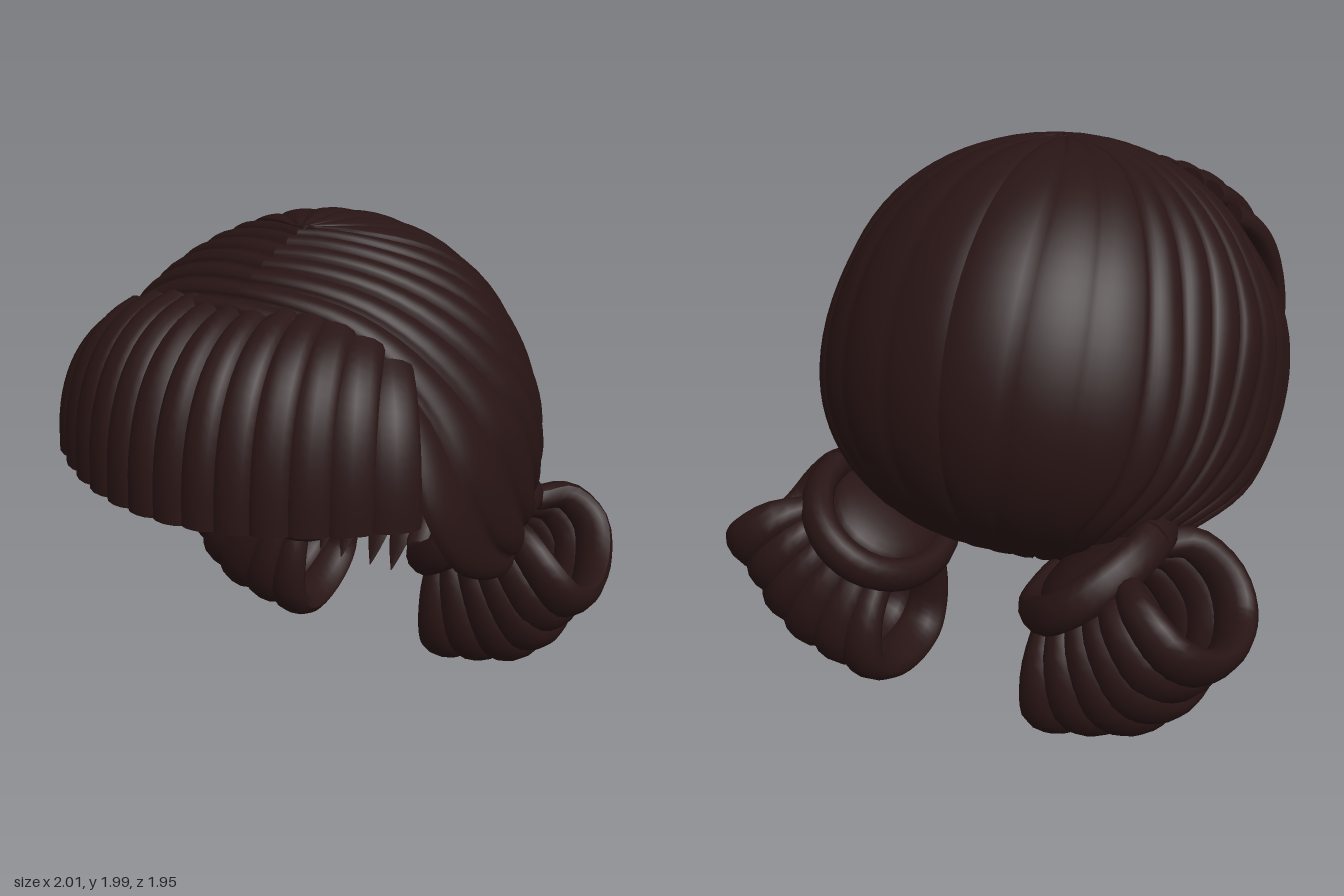
import * as THREE from 'three';

const V = (x, y, z) => new THREE.Vector3(x, y, z);
const { smoothstep, clamp } = THREE.MathUtils;
const material = new THREE.MeshStandardMaterial({ color: 0x281414, side: THREE.DoubleSide });

// Smooth sheet of rows x cols points given by a rule
function sheet(rows, cols, pointAt) {
  const pos = [], index = [];
  for (let j = 0; j <= rows; j++) {
    for (let k = 0; k <= cols; k++) {
      pos.push(...pointAt(j, k).toArray());
      if (j < rows && k < cols) {
        const a = j * (cols + 1) + k, b = a + cols + 1;
        index.push(a, a + 1, b, a + 1, b + 1, b);
      }
    }
  }
  const g = new THREE.BufferGeometry();
  g.setAttribute('position', new THREE.Float32BufferAttribute(pos, 3));
  g.setIndex(index);
  g.computeVertexNormals();
  return g;
}

// Flattened lock of hair along a path, capped at both ends
function lock(points, side, width, thick, steps = 16, sides = 12) {
  const curve = new THREE.CatmullRomCurve3(points);
  return sheet(steps + 4, sides, (j, k) => {
    const t = clamp((j - 2) / steps, 0, 1);
    const scale = j === 0 || j === steps + 4 ? 0 : 1;
    const T = curve.getTangent(t);
    const S = side.clone().addScaledVector(T, -side.dot(T)).normalize();
    const N = T.clone().cross(S);
    const a = (k % sides) / sides * Math.PI * 2;
    return curve.getPoint(t)
      .addScaledVector(S, Math.cos(a) * width(t) * scale)
      .addScaledVector(N, Math.sin(a) * thick(t) * scale);
  });
}

// Push a point out to the head form: round on top, fuller at the lower sides, narrower behind
function onHead(p, inset) {
  const c = V(0, 1.2, -0.1);
  const d = p.clone().sub(c);
  const y = d.y / (d.y > 0 ? 0.79 : 0.75), z = d.z / (d.z > 0 ? 1.05 : 0.8);
  const low = smoothstep(-p.y, -1.6, -0.85);
  const front = smoothstep(p.z, -0.8, 0.1);
  const e = 2 + low * (0.2 + 0.8 * front);
  const half = 0.84 + 0.03 * low - 0.05 * smoothstep(-p.z, 0, 0.4);
  const n = (y * y + z * z) ** (e / 2) + Math.abs(d.x / half) ** e;
  return c.addScaledVector(d, inset / n ** (1 / e));
}

// Guide paths from the parting to the nape: hairline, side, crown, back middle
const guides = [
  [[0, 1.84, .62], [.4, 1.75, .59], [.62, 1.5, .55], [.75, 1.2, .56], [.78, .97, .41], [.77, .82, .14], [.68, .75, -.22], [.45, .63, -.44]],
  [[0, 1.92, .35], [.4, 1.85, .23], [.68, 1.6, .06], [.82, 1.35, -.1], [.82, 1.1, -.25], [.75, .92, -.4], [.62, .78, -.5], [.4, .62, -.5]],
  [[0, 1.98, .1], [.28, 1.95, -.03], [.5, 1.82, -.25], [.63, 1.6, -.45], [.65, 1.3, -.58], [.6, 1.05, -.65], [.45, .85, -.65], [.25, .6, -.5]],
  [[0, 1.98, .1], [0, 1.97, -.15], [0, 1.88, -.4], [0, 1.65, -.7], [0, 1.35, -.88], [0, 1.1, -.88], [0, .85, -.8], [0, .6, -.5]],
].map(g => new THREE.CatmullRomCurve3(g.map(p => V(...p))));

// One half of the combed cap, ridged along its strands, calmer at the back
function capHalf(m) {
  const strands = 10, per = 10, rows = strands * per, cols = 36;
  const across = Array.from({ length: cols + 1 }, (_, k) =>
    new THREE.CatmullRomCurve3(guides.map(g => g.getPoint(k / cols))));
  return sheet(rows, cols, (j, k) => {
    const s = (m > 0 ? j : rows - j) / rows;
    const ridge = Math.abs(Math.sin(Math.PI * strands * s)) ** 0.6;
    const depth = s > 0.7 ? 0.012 : 0.032;
    const p = onHead(across[k].getPoint(s), 1.005 - depth * (1 - ridge));
    p.x *= m;
    return p;
  });
}

export function createModel() {
  const model = new THREE.Group();
  const add = (geometry, name, parent = model) => {
    const mesh = new THREE.Mesh(geometry, material);
    mesh.name = name;
    parent.add(mesh);
    return mesh;
  };

  // Blunt fringe, its outer locks tucked back under the cap
  const fringe = new THREE.Group();
  fringe.name = 'fringe';
  model.add(fringe);
  for (let i = -6; i <= 6; i++) {
    const u = i / 6.5, x = 0.71 * u, z = 0.93 - 0.35 * u * u;
    const top = V(0.57 * u, 1.775 - 0.17 * u ** 4, 0.5 - 0.08 * u * u);
    const end = V(x, 1.19, z), bend = V(x, top.y - 0.03 - 0.08 * u * u, z);
    const path = new THREE.QuadraticBezierCurve3(top, bend, end).getPoints(6);
    const w = 0.072 * Math.hypot(1, u);
    add(lock(path, V(0.73, 0, -0.7 * u), t => w * (0.85 + 0.15 * t), () => 0.05), 'fringeLock', fringe);
  }

  for (const m of [1, -1]) {
    const label = m > 0 ? 'left' : 'right';
    add(capHalf(m), label + 'Cap');

    // Looped pigtail: strands leave the tie, fold round and return
    const tail = new THREE.Group();
    tail.name = label + 'Pigtail';
    model.add(tail);
    const ends = new THREE.CatmullRomCurve3(
      [V(.925, .43, 0), V(.81, .3, 0), V(.74, .17, 0), V(.57, .1, 0), V(.38, .06, 0)]);
    const loops = 6;
    for (let i = 0; i < loops; i++) {
      const f = i / (loops - 1);
      const root = V(.63 - .29 * f, .72 - .22 * f, 0), end = ends.getPoint(f);
      const d = end.clone().sub(root);
      const path = [[0, -.46], [.3, -.4], [.7, -.375], [.92, -.43], [1, -.56], [.92, -.77], [.68, -.91], [.3, -.89], [0, -.78]]
        .map(([a, z]) => {
          const p = root.clone().addScaledVector(d, a);
          return V(p.x * m, p.y + 0.09 * Math.sin(Math.PI * a) * (1 - f), -.63 + (z + .63) * (1 - .15 * f * f * a));
        });
      add(lock(path, V(-d.y, d.x * m, 0),
        t => 0.05 + 0.05 * Math.sin(Math.PI * t), () => 0.055, 28), 'loopStrand', tail);
    }

    // Gathered hair inside the tie
    const root = add(new THREE.SphereGeometry(1, 20, 14), 'pigtailRoot', tail);
    root.scale.set(0.22, 0.08, 0.24);
    root.position.set(0.43 * m, 0.64, -0.58);
    root.rotation.z = 0.62 * m;

    // Band of hair wrapped round the root
    const wrap = [];
    for (let i = 0; i <= 20; i++) {
      const a = i / 20 * Math.PI * 2, c = 0.25 * Math.cos(a);
      wrap.push(V((0.44 + 0.8 * c) * m, 0.64 + 0.62 * c, -0.58 + 0.3 * Math.sin(a)));
    }
    add(lock(wrap, V(0.6 * m, -0.8, 0), () => 0.075, () => 0.055, 36), 'pigtailTie', tail);

    // Loose tips at the nape
    for (const [x, y] of [[.07, .45], [.17, .45], [.25, .5]]) {
      add(lock([V(x * m, .68, -.54), V(x * m, .6, -.44), V(x * m, y, -.35)], V(1, 0, 0),
        t => 0.05 * Math.sin(Math.PI * (0.15 + 0.84 * t)), t => 0.03 * (1 - t) + 0.002, 10, 8), 'napeTip');
    }

    // Stray tips inside the sides
    for (const [x, y] of [[.23, 1.0], [.3, .84]]) {
      add(lock([V(.72 * m, .9, -.25), V(.45 * m, (y + .84) / 2 - .03, -.4), V(x * m, y, -.45)], V(0, 1, 0),
        t => 0.06 * Math.sin(Math.PI * (0.1 + 0.89 * t)), t => 0.02 * (1 - t) + 0.002, 10, 8), 'innerTip');
    }
  }
  return model;
}
